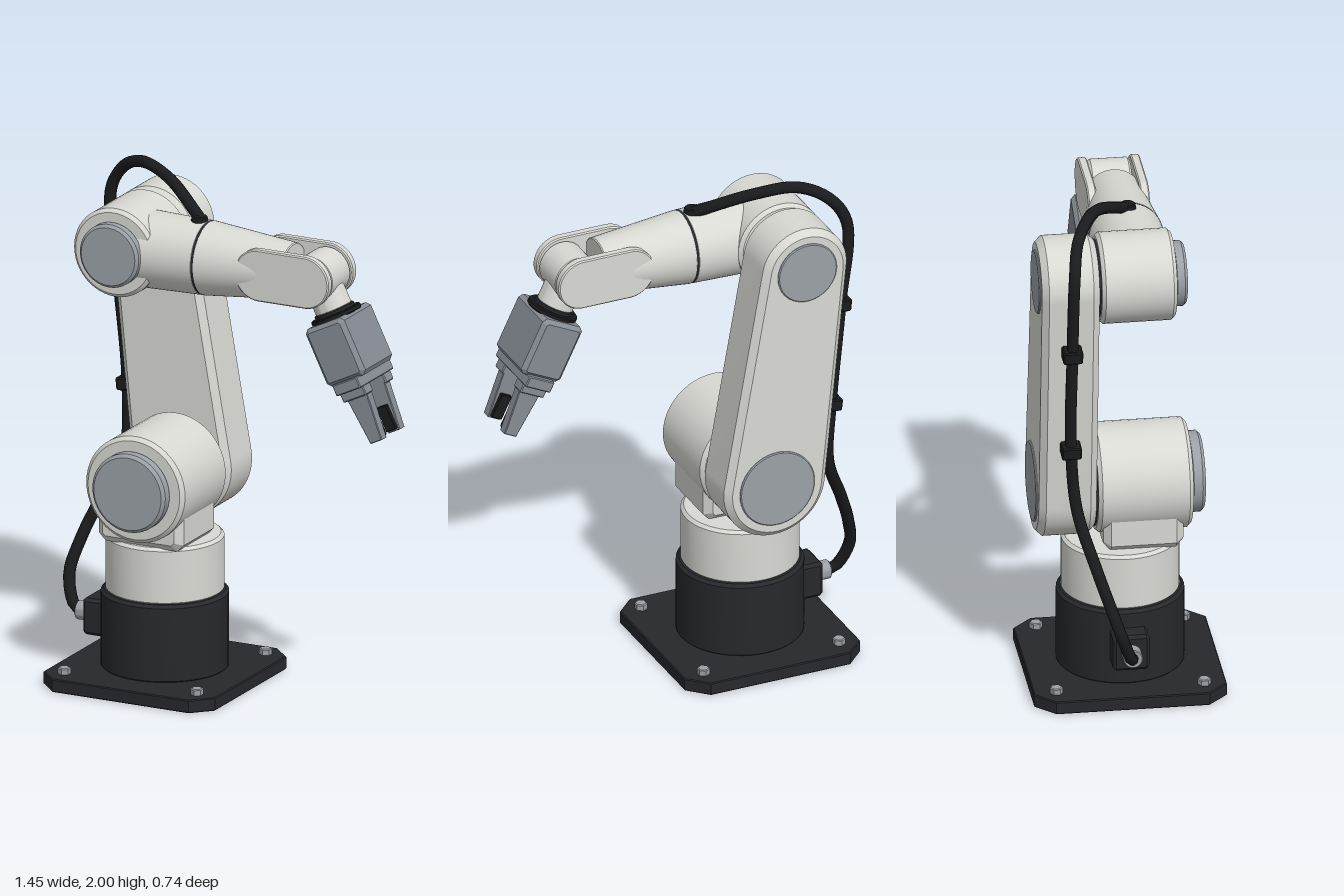
import * as THREE from 'three';
import { toCreasedNormals } from 'three/addons/utils/BufferGeometryUtils.js';

const paint = (color) => new THREE.MeshStandardMaterial({ color });
const white = paint(0xd9d9d4), grey = paint(0x9ba1a7), steel = paint(0x868c94);
const dark = paint(0x26282c), black = paint(0x1a1b1d);

function add(parent, name, geometry, material, x = 0, y = 0, z = 0) {
  const mesh = new THREE.Mesh(geometry, material);
  mesh.name = name;
  mesh.position.set(x, y, z);
  parent.add(mesh);
  return mesh;
}

// Bevelled (optionally tapered) drum from a to b along an axis
function drum(axis, r0, r1, a, b, bevel = 0.004, sides = 48) {
  const profile = [[0, a], [r0 - bevel, a], [r0, a + bevel], [r1, b - bevel], [r1 - bevel, b], [0, b]];
  const g = new THREE.LatheGeometry(profile.map(([r, t]) => new THREE.Vector2(r, t)), sides);
  if (axis === 'z') g.rotateX(Math.PI / 2);
  if (axis === 'x') g.rotateZ(-Math.PI / 2);
  return toCreasedNormals(g, 0.5);
}

// Bevelled extrusion of a shape between z0 and z1
function slab(shape, z0, z1, bevel) {
  const g = new THREE.ExtrudeGeometry(shape, {
    depth: z1 - z0 - 2 * bevel, bevelEnabled: true, bevelThickness: bevel,
    bevelSize: bevel, bevelOffset: -bevel, bevelSegments: 1, curveSegments: 28,
  });
  g.translate(0, 0, z0 + bevel);
  return toCreasedNormals(g, 0.4);
}

const polygon = (pts) => new THREE.Shape(pts.map(([x, y]) => new THREE.Vector2(x, y)));

// Rectangle with cut corners
function cutRect(w, h, c) {
  const x = w / 2, y = h / 2;
  return polygon([[-x + c, -y], [x - c, -y], [x, -y + c], [x, y - c],
    [x - c, y], [-x + c, y], [-x, y - c], [-x, -y + c]]);
}

const block = (w, h, d, bevel) => slab(cutRect(w, h, bevel), -d / 2, d / 2, bevel);

// Outline around two circles joined by their tangents
function link(x1, y1, r1, x2, y2, r2) {
  const dir = Math.atan2(y2 - y1, x2 - x1);
  const t = Math.acos((r1 - r2) / Math.hypot(x2 - x1, y2 - y1));
  const s = new THREE.Shape();
  s.absarc(x1, y1, r1, dir + t, dir - t + 2 * Math.PI, false);
  s.absarc(x2, y2, r2, dir - t, dir + t, false);
  return s;
}

export function createModel() {
  const root = new THREE.Group();
  root.name = 'robotArm';
  const BX = -0.285, SY = 0.81;            // base centre, shoulder height
  const EX = -0.41, EY = 1.71;             // elbow axis
  const WX = 0.4, WY = 1.707, WZ = 0.053;  // wrist axis

  // Base
  const base = new THREE.Group();
  base.name = 'base';
  base.position.x = BX;
  root.add(base);
  const plate = slab(cutRect(0.73, 0.735, 0.075), 0, 0.052, 0.004);
  plate.rotateX(-Math.PI / 2);
  add(base, 'basePlate', plate, dark);
  for (const x of [-0.282, 0.282]) for (const z of [-0.282, 0.282])
    add(base, 'bolt', drum('y', 0.025, 0.025, 0.045, 0.076, 0.004, 6), grey, x, 0, z);
  add(base, 'pedestal', drum('y', 0.243, 0.243, 0.045, 0.357, 0.012), dark);
  add(base, 'turntable', drum('y', 0.225, 0.225, 0.35, 0.578, 0.012), white);
  add(base, 'shoulderNeck', block(0.36, 0.24, 0.305, 0.028), white, 0, 0.692, 0.068);
  add(base, 'cableSocket', block(0.1, 0.145, 0.14, 0.012), dark, -0.267, 0.213, 0);
  add(base, 'cablePlug', drum('x', 0.037, 0.037, -0.368, -0.31), grey, 0, 0.213, 0);

  // Shoulder
  add(root, 'shoulderHousing', drum('z', 0.21, 0.21, -0.108, 0.255, 0.015), white, BX, SY);
  add(root, 'shoulderCap', drum('z', 0.155, 0.155, 0.25, 0.308, 0.012), grey, BX, SY);
  add(root, 'shoulderSeal', drum('z', 0.185, 0.185, -0.12, -0.1), dark, BX, SY);

  // Upper arm
  add(root, 'upperArm', slab(link(BX, SY, 0.21, EX, EY, 0.175), -0.335, -0.115, 0.025), white);
  add(root, 'shoulderBackCap', drum('z', 0.155, 0.155, -0.342, -0.32), grey, BX, SY);
  add(root, 'elbowBackCap', drum('z', 0.122, 0.122, -0.342, -0.32), grey, EX, EY);

  // Elbow
  add(root, 'elbowHousing', drum('z', 0.175, 0.175, -0.107, 0.18, 0.014), white, EX, EY);
  add(root, 'elbowCap', drum('z', 0.125, 0.125, 0.175, 0.226, 0.011), grey, EX, EY);
  add(root, 'elbowSeal', drum('z', 0.15, 0.15, -0.12, -0.1), dark, EX, EY);

  // Forearm
  add(root, 'forearmCollar', drum('x', 0.151, 0.143, EX, -0.073), white, 0, WY, WZ);
  add(root, 'forearmSeam', drum('x', 0.142, 0.142, -0.08, -0.065, 0.001), dark, 0, WY, WZ);
  add(root, 'forearm', drum('x', 0.143, 0.109, -0.07, 0.29), white, 0, WY, WZ);
  for (const s of [-1, 1])
    add(root, 'wristFork', slab(link(0.2, WY, 0.102, WX - 0.005, WY, 0.102), -0.0175, 0.0175, 0.005),
      white, 0, 0, WZ + s * 0.1005);

  // Wrist and gripper hang along local -y
  const wrist = new THREE.Group();
  wrist.name = 'wrist';
  wrist.position.set(WX, WY, WZ);
  wrist.rotation.z = THREE.MathUtils.degToRad(26);
  root.add(wrist);
  add(wrist, 'wristKnuckle', drum('z', 0.092, 0.092, -0.079, 0.079, 0.008), white);
  add(wrist, 'wristPin', drum('z', 0.04, 0.04, -0.1, 0.1), grey);
  add(wrist, 'wristStub', drum('y', 0.072, 0.072, -0.142, 0, 0.006), white);
  add(wrist, 'wristSeal', drum('y', 0.08, 0.08, -0.155, -0.138), dark);
  add(wrist, 'toolFlange', drum('y', 0.1, 0.1, -0.172, -0.152), black);
  add(wrist, 'gripperBody', block(0.182, 0.236, 0.25, 0.016), steel, 0, -0.285, 0);
  add(wrist, 'gripperRail', block(0.115, 0.045, 0.275, 0.004), steel, 0, -0.42, 0);
  const finger = polygon([[-0.05, -0.44], [-0.027, -0.66], [0.027, -0.66], [0.05, -0.44]]);
  for (const s of [-1, 1]) {
    add(wrist, 'fingerCarriage', block(0.108, 0.04, 0.062, 0.004), steel, 0, -0.457, s * 0.084);
    add(wrist, 'finger', slab(finger, -0.021, 0.021, 0.003), steel, 0, 0, s * 0.074);
    add(wrist, 'fingerPad', block(0.046, 0.1, 0.02, 0.003), black, 0, -0.602, s * 0.045);
  }

  // Cable with its clips and grommet
  const path = new THREE.CatmullRomCurve3([
    [-0.635, 0.213, 0], [-0.675, 0.225, -0.01], [-0.717, 0.335, -0.05], [-0.69, 0.466, -0.095],
    [-0.64, 0.6, -0.14], [-0.56, 0.8, -0.2], [-0.56, 1.065, -0.225], [-0.6, 1.485, -0.225],
    [-0.628, 1.82, -0.22], [-0.56, 1.93, -0.2], [-0.455, 1.975, -0.15],
    [-0.31, 1.948, -0.085], [-0.1, 1.845, 0.05],
  ].map((p) => new THREE.Vector3(...p)));
  add(root, 'cable', new THREE.TubeGeometry(path, 90, 0.023, 10), black);
  for (const [x, y] of [[-0.56, 1.065], [-0.598, 1.485]])
    add(root, 'cableClip', block(0.066, 0.05, 0.075, 0.005), black, x, y, -0.225).rotation.z = 0.1;
  add(root, 'cableGrommet', drum('y', 0.035, 0.03, 1.83, 1.868), black, -0.11, 0, WZ);

  return root;
}
